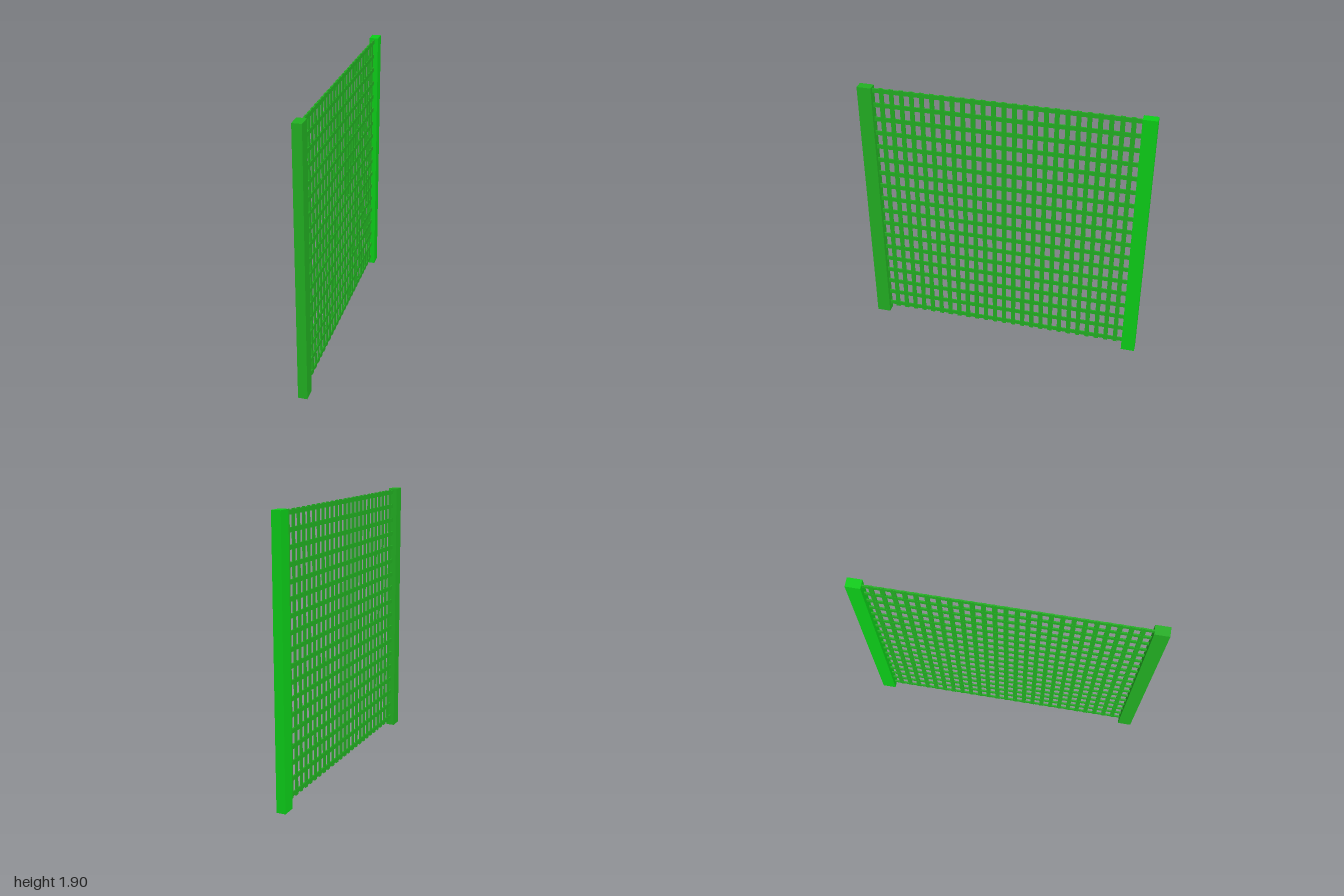
import * as THREE from 'three';

export function createModel() {
  const model = new THREE.Group();
  model.name = 'trellisPanel';
  const green = new THREE.MeshStandardMaterial({ color: 0x22b022 });
  const brightGreen = new THREE.MeshStandardMaterial({ color: 0x0ccf18 });

  function addBox(parent, name, size, position, material) {
    const mesh = new THREE.Mesh(new THREE.BoxGeometry(...size), material);
    mesh.position.set(...position);
    mesh.name = name;
    parent.add(mesh);
  }

  // End posts, the rear one in a brighter green
  const height = 1.905;
  addBox(model, 'frontPost', [0.064, height, 0.098], [0, height / 2, 0.951], green);
  addBox(model, 'rearPost', [0.064, height, 0.098], [0, height / 2, -0.951], brightGreen);

  // Horizontal slats spanning between the posts
  const rails = new THREE.Group();
  rails.name = 'horizontalSlats';
  for (let i = 0; i < 18; i++) {
    addBox(rails, 'horizontalSlat', [0.01, 0.03, 1.81], [0, 0.069 + i * 0.1064, 0], green);
  }

  // Vertical slats, slightly thinner so the horizontals stay proud
  const uprights = new THREE.Group();
  uprights.name = 'verticalSlats';
  for (let i = 0; i < 25; i++) {
    addBox(uprights, 'verticalSlat', [0.008, 1.857, 0.031], [0, 0.97, 0.841 - i * 0.0704], green);
  }

  model.add(rails, uprights);
  return model;
}
